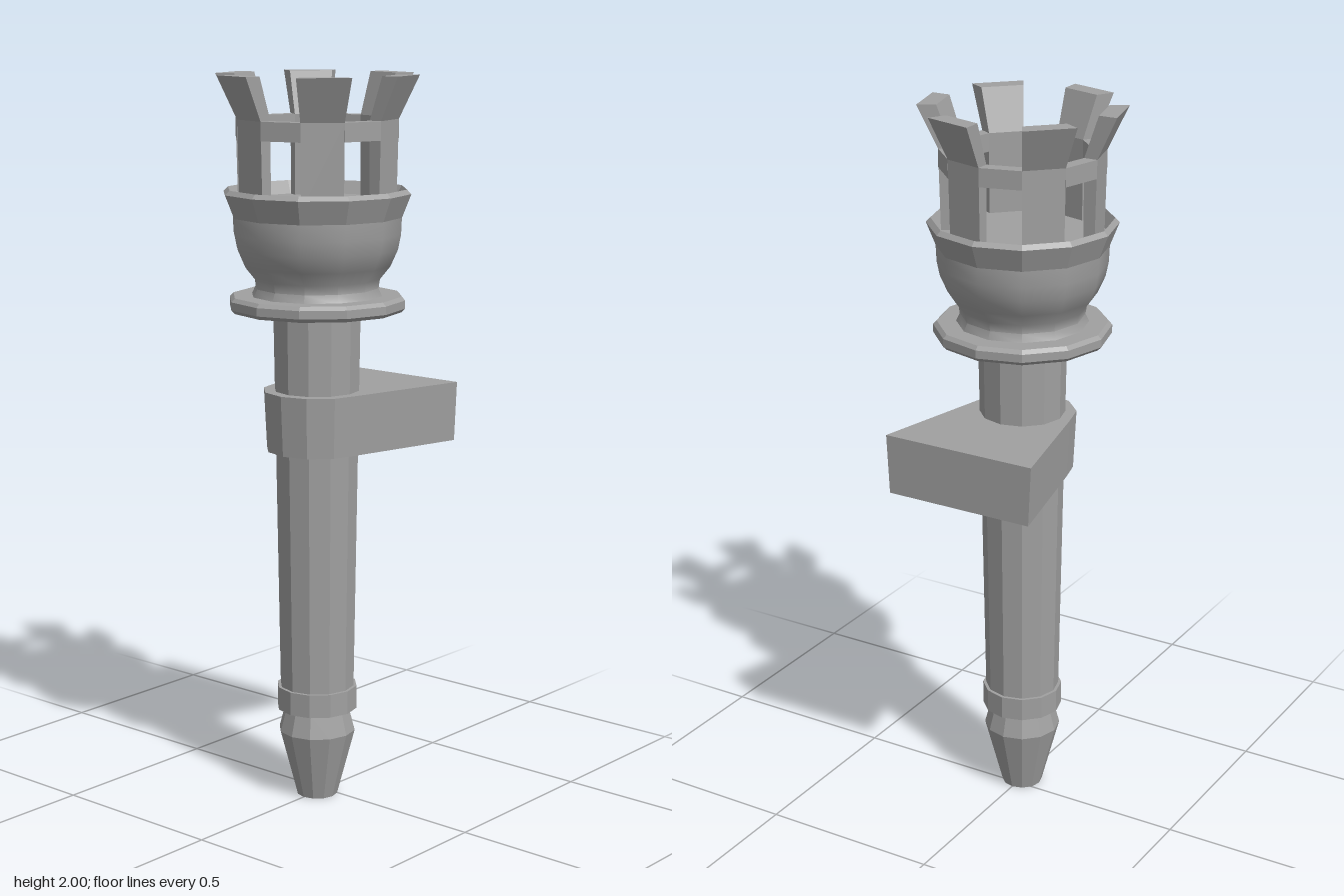
import * as THREE from 'three';
import { toCreasedNormals } from 'three/addons/utils/BufferGeometryUtils.js';

const SIDES = 12;
const STEP = (Math.PI * 2) / SIDES;

// Turned part from [radius, y] points; smooth keeps only facets within a crease angle soft
function turned(points, smooth = false) {
  const geo = new THREE.LatheGeometry(points.map(([r, y]) => new THREE.Vector2(r, y)), SIDES);
  if (smooth) return toCreasedNormals(geo, 0.75);
  const flat = geo.toNonIndexed();
  flat.computeVertexNormals();
  return flat;
}

// Solid made by stacking matching convex loops (counter-clockwise from above, bottom to top)
function stacked(loops) {
  const pos = [];
  const tri = (a, b, c) => pos.push(...a, ...b, ...c);
  const n = loops[0].length;
  for (let k = 0; k < loops.length - 1; k++) {
    const lo = loops[k], hi = loops[k + 1];
    for (let i = 0; i < n; i++) {
      const j = (i + 1) % n;
      tri(lo[i], lo[j], hi[j]);
      tri(lo[i], hi[j], hi[i]);
    }
  }
  const top = loops[loops.length - 1], bottom = loops[0];
  for (let i = 1; i < n - 1; i++) {
    tri(top[0], top[i], top[i + 1]);
    tri(bottom[0], bottom[i + 1], bottom[i]);
  }
  const geo = new THREE.BufferGeometry();
  geo.setAttribute('position', new THREE.Float32BufferAttribute(pos, 3));
  geo.computeVertexNormals();
  return geo;
}

const polar = (r, a, y) => [r * Math.cos(a), y, -r * Math.sin(a)];

// One-facet wedge of the crown from [innerRadius, outerRadius, y] levels
function wedge(levels, index) {
  const a = index * STEP, b = a + STEP;
  return stacked(levels.map(([ri, ro, y]) =>
    [polar(ri, a, y), polar(ro, a, y), polar(ro, b, y), polar(ri, b, y)]));
}

export function createModel() {
  const model = new THREE.Group();
  model.name = 'wallTorch';
  const grey = new THREE.MeshStandardMaterial({ color: 0xa0a0a0 });
  grey.name = 'grey';

  const torch = new THREE.Group();
  torch.name = 'torch';
  torch.position.x = -0.03;
  model.add(torch);
  const add = (name, geo, parent = torch) => {
    const mesh = new THREE.Mesh(geo, grey);
    mesh.name = name;
    parent.add(mesh);
  };

  // Handle: tip, collar and tapered shaft
  add('tip', turned([[0, 0], [0.057, 0], [0.107, 0.19], [0.09, 0.255], [0, 0.255]]));
  add('collar', turned([[0, 0.255], [0.112, 0.255], [0.112, 0.32], [0, 0.32]]));
  add('shaft', turned([[0.103, 0.3], [0.12, 1.38]]));

  // Head: disc, rounded bowl and flared lip with a sunken floor
  add('disc', turned([[0, 1.372], [0.23, 1.372], [0.24, 1.382], [0.24, 1.404], [0.23, 1.414], [0, 1.414]]));
  add('bowl', turned([[0.18, 1.41], [0.168, 1.435], [0.172, 1.46], [0.2, 1.495],
    [0.22, 1.54], [0.228, 1.58], [0.23, 1.625]], true));
  add('lip', turned([[0.228, 1.62], [0.255, 1.688], [0.243, 1.7], [0.222, 1.665], [0, 1.665]]));

  // Crown: six flared prongs joined by a ring of bars
  const crown = new THREE.Group();
  crown.name = 'crown';
  torch.add(crown);
  for (let i = 0; i < SIDES; i += 2) {
    add('prong', wedge([[0.182, 0.215, 1.66], [0.182, 0.22, 1.885], [0.223, 0.275, 2]], i + 1), crown);
    add('ringBar', wedge([[0.182, 0.22, 1.835], [0.182, 0.22, 1.885]], i), crown);
  }

  // Wall bracket: half collar around the shaft widening to a flat end
  const bracketLoop = (y, r, halfWidth) => {
    const loop = [[0.335, y, halfWidth], [0.335, y, -halfWidth]];
    for (let i = 3; i <= 9; i++) loop.push(polar(r, i * STEP, y));
    return loop;
  };
  add('wallBracket', stacked([bracketLoop(0.99, 0.139, 0.214), bracketLoop(1.155, 0.147, 0.222)]));

  return model;
}
